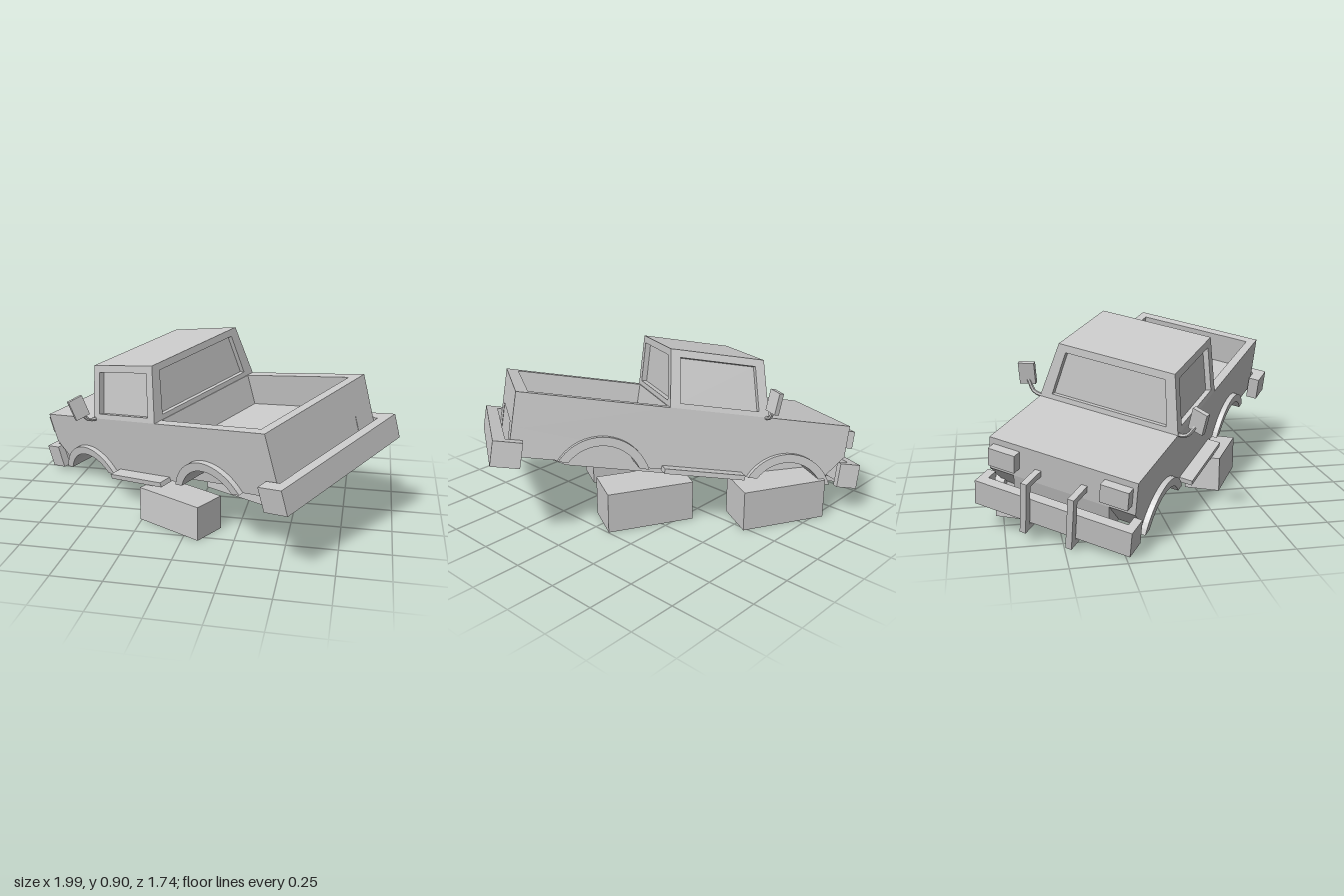
import * as THREE from 'three';

const V = (x, y, z) => new THREE.Vector3(x, y, z);

export function createModel() {
  const model = new THREE.Group();
  const mat = new THREE.MeshStandardMaterial({ color: 0xcccccc, flatShading: true, side: THREE.DoubleSide });

  // Truck space: x = its right, y = up, z = towards the tailgate
  const truck = new THREE.Group();
  truck.name = 'truck';
  const back = V(0.803, 0.186, 0.566).normalize();
  const up = new THREE.Vector3().crossVectors(back, V(0.543, 0.165, -0.823)).normalize();
  const right = new THREE.Vector3().crossVectors(up, back);
  truck.quaternion.setFromRotationMatrix(new THREE.Matrix4().makeBasis(right, up, back));
  truck.position.copy(right).multiplyScalar(0.066);
  model.add(truck);

  const add = (name, geometry, parent = truck) => {
    const mesh = new THREE.Mesh(geometry, mat);
    mesh.name = name;
    parent.add(mesh);
    return mesh;
  };
  // Box given by its extents on each axis
  const span = (name, x0, x1, y0, y1, z0, z1) =>
    add(name, new THREE.BoxGeometry(x1 - x0, y1 - y0, z1 - z0))
      .position.set((x0 + x1) / 2, (y0 + y1) / 2, (z0 + z1) / 2);
  // Side profile (z, y) extruded across the truck, centred on x
  const across = (name, shape, width, x) => {
    const g = new THREE.ExtrudeGeometry(shape, { depth: width, bevelEnabled: false, curveSegments: 10 });
    g.translate(0, 0, -width / 2).rotateY(-Math.PI / 2);
    add(name, g).position.x = x;
  };

  // Body measurements
  const W = 0.365, FRONT = -0.815, REAR = 0.896, TOP = 0.555, MID = 0.39, SILL = 0.245;
  const CAB_BACK = 0.155, wheels = [-0.52, 0.44], axleY = 0.137, rIn = 0.205, rOut = 0.248;

  // Lower body sides with wheel openings
  const lower = new THREE.Shape();
  lower.moveTo(FRONT + 0.02, SILL);
  const a = Math.asin((SILL - axleY) / rIn);
  for (const z of wheels) lower.absarc(z, axleY, rIn, Math.PI - a, a, true);
  lower.lineTo(REAR, SILL);
  lower.lineTo(REAR, MID);
  lower.lineTo(FRONT, MID);
  lower.closePath();

  // Wheel arch flare
  const flare = z => {
    const s = new THREE.Shape();
    const o = Math.asin((SILL - axleY) / rOut);
    s.absarc(z, axleY, rOut, Math.PI - o, o, true);
    s.absarc(z, axleY, rIn, a, Math.PI - a, false);
    s.closePath();
    return s;
  };

  // Central floor, rising at both ends
  const floor = new THREE.Shape([
    [FRONT + 0.02, SILL], [-0.67, SILL], [-0.56, 0.195], [0.6, 0.195],
    [0.78, SILL], [REAR - 0.002, SILL], [REAR - 0.002, MID], [FRONT, MID],
  ].map(p => new THREE.Vector2(...p)));
  across('underbody', floor, 0.48, 0);

  // Hood and cabin base, bed walls
  span('hood', -W, W, MID, TOP, FRONT, CAB_BACK);
  span('tailgate', -W, W, MID, TOP, REAR - 0.06, REAR);

  for (const s of [-1, 1]) {
    const side = s < 0 ? 'left' : 'right';
    const at = (name, x0, x1, ...r) => span(side + name, Math.min(s * x0, s * x1), Math.max(s * x0, s * x1), ...r);
    across(side + 'LowerSide', lower, 0.125, s * (W - 0.0625));
    at('BedWall', W - 0.045, W, MID, TOP, CAB_BACK, REAR - 0.06);
    wheels.forEach((z, i) => across(side + (i ? 'Rear' : 'Front') + 'Arch', flare(z), 0.05, s * (W + 0.002)));
    at('RunningBoard', W - 0.02, 0.432, 0.24, 0.265, -0.265, 0.15);
    at('Headlight', 0.21, 0.345, 0.435, 0.525, -0.86, FRONT);
    at('FrontBumperEnd', 0.35, 0.39, 0.235, 0.36, -0.86, -0.79);
    at('RearBumperEnd', 0.37, 0.43, 0.205, 0.328, 0.84, 0.93);

    // Bull bar wrapping over and under the front bumper
    at('BarFront', 0.1, 0.13, 0.2, 0.46, -0.94, -0.905);
    at('BarTop', 0.1, 0.13, 0.43, 0.46, -0.905, FRONT);
    at('BarFoot', 0.1, 0.13, 0.2, 0.23, -0.905, -0.8);

    // Door mirror on a bent arm
    const arm = new THREE.CatmullRomCurve3([V(s * 0.35, 0.55, -0.35), V(s * 0.405, 0.565, -0.355), V(s * 0.44, 0.62, -0.35)]);
    add(side + 'MirrorArm', new THREE.TubeGeometry(arm, 6, 0.01, 6));
    const mirror = add(side + 'Mirror', new THREE.BoxGeometry(0.08, 0.11, 0.025));
    mirror.position.set(s * 0.45, 0.65, -0.345);
    mirror.rotation.set(0, s * 0.25, -s * 0.12);
  }
  span('frontBumper', -0.39, 0.39, 0.235, 0.36, -0.9, -0.85);
  span('rearBumper', -0.43, 0.43, 0.205, 0.328, 0.92, 0.98);

  // Cab: corners at base and roof, ordered front-left, front-right, rear-right, rear-left
  const base = [V(-W, TOP, -0.365), V(W, TOP, -0.365), V(W, TOP, 0.15), V(-W, TOP, 0.15)];
  const roof = [V(-0.3, 0.833, -0.312), V(0.3, 0.833, -0.312), V(0.3, 0.833, 0.173), V(-0.3, 0.833, 0.173)];
  const quads = (name, list) => {
    const pos = [];
    for (const [p, q, r, t] of list) for (const v of [p, q, r, p, r, t]) pos.push(v.x, v.y, v.z);
    const g = new THREE.BufferGeometry();
    g.setAttribute('position', new THREE.Float32BufferAttribute(pos, 3));
    g.computeVertexNormals();
    add(name, g);
  };
  quads('roof', [[roof[3], roof[2], roof[1], roof[0]]]);

  // Wall with a recessed window; corners run counter-clockwise from outside
  const windowWall = (name, c, mx, low, high) => {
    const point = (u, v) => c[0].clone().lerp(c[1], u).lerp(c[3].clone().lerp(c[2], u), v);
    const rim = [point(mx, low), point(1 - mx, low), point(1 - mx, 1 - high), point(mx, 1 - high)];
    const n = c[1].clone().sub(c[0]).cross(c[3].clone().sub(c[0])).normalize();
    const pane = rim.map(p => p.clone().addScaledVector(n, -0.028));
    const list = [];
    for (let i = 0; i < 4; i++) {
      const j = (i + 1) % 4;
      list.push([c[i], c[j], rim[j], rim[i]], [rim[i], rim[j], pane[j], pane[i]]);
    }
    quads(name + 'Frame', list);
    quads(name + 'Glass', [pane]);
  };
  ['windscreen', 'rightWindow', 'rearWindow', 'leftWindow'].forEach((name, i) => {
    const j = (i + 1) % 4;
    windowWall(name, [base[j], base[i], roof[i], roof[j]], i % 2 ? 0.1 : 0.08, 0.09, 0.13);
  });

  // Support blocks on the ground: x, z, length, height, depth
  [[-0.048, 0.37, 0.381, 0.175, 0.18], [0.247, -0.1, 0.45, 0.21, 0.22], [-0.23, -0.582, 0.45, 0.21, 0.22]]
    .forEach(([x, z, w, h, d], i) => {
      const block = add('supportBlock' + (i + 1), new THREE.BoxGeometry(w, h, d), model);
      block.position.set(x, h / 2, z);
      block.rotation.y = -0.49;
    });

  return model;
}
